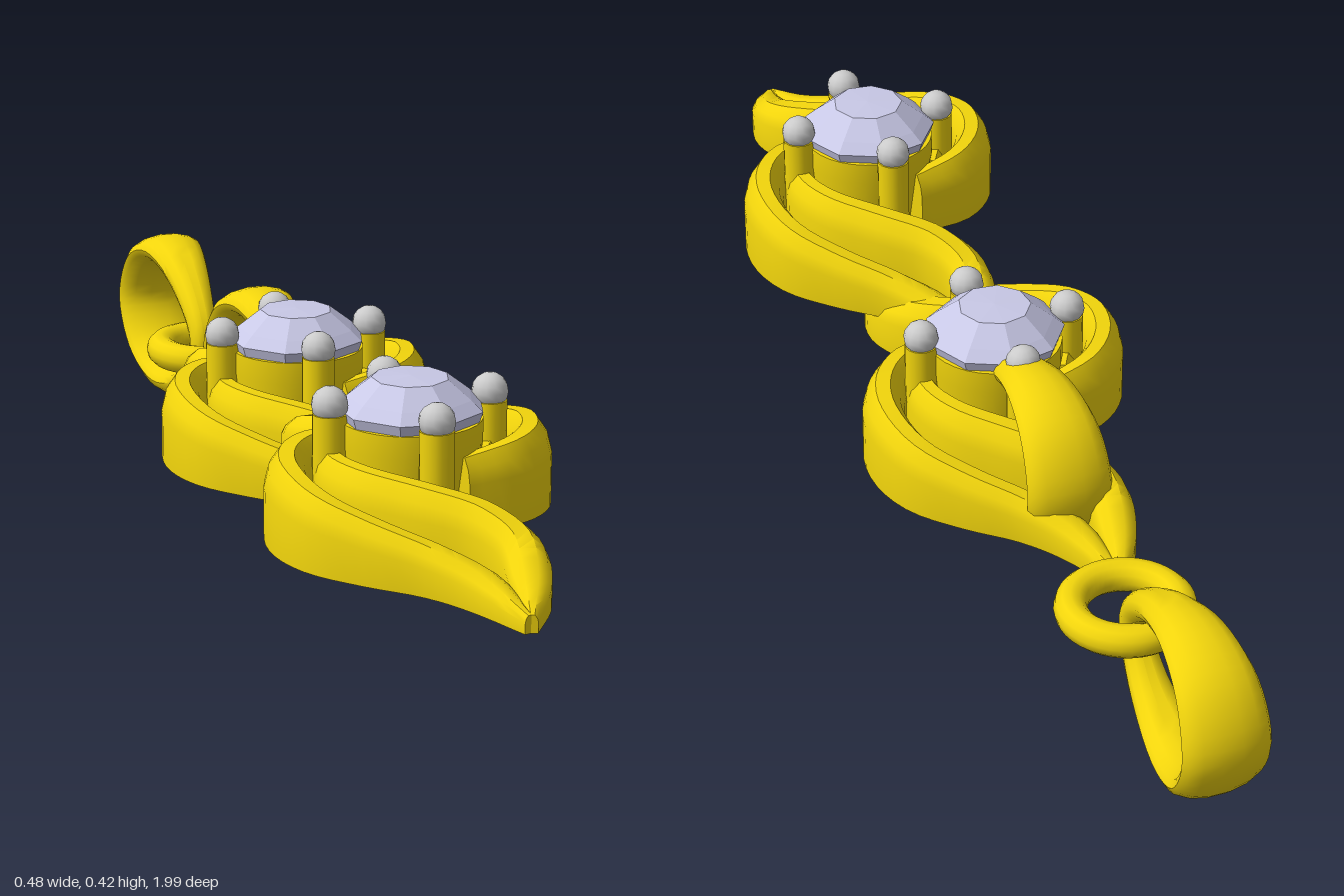
import * as THREE from 'three';
import { toCreasedNormals } from 'three/addons/utils/BufferGeometryUtils.js';

const gold = new THREE.MeshStandardMaterial({ color: 0xf2d50c });
const gemMat = new THREE.MeshStandardMaterial({ color: 0xc8c8e6, flatShading: true });
const grey = new THREE.MeshStandardMaterial({ color: 0xcccccc });

function mesh(name, geometry, material, x = 0, y = 0, z = 0) {
  const m = new THREE.Mesh(geometry, material);
  m.name = name;
  m.position.set(x, y, z);
  return m;
}

// Skin a list of cross-section rings (each counter-clockwise about the path)
function skin(rings, closed) {
  const n = rings[0].length, count = rings.length, pos = [], idx = [];
  rings.forEach(r => r.forEach(p => pos.push(p.x, p.y, p.z)));
  for (let i = 0; i < (closed ? count : count - 1); i++) {
    const k = (i + 1) % count;
    for (let j = 0; j < n; j++) {
      const l = (j + 1) % n;
      const a = i * n + j, b = i * n + l, c = k * n + l, d = k * n + j;
      idx.push(a, b, c, a, c, d);
    }
  }
  if (!closed) {
    const e = (count - 1) * n;
    for (let j = 1; j < n - 1; j++) idx.push(0, j + 1, j, e, e + j, e + j + 1);
  }
  const g = new THREE.BufferGeometry();
  g.setAttribute('position', new THREE.Float32BufferAttribute(pos, 3));
  g.setIndex(idx);
  return toCreasedNormals(g, 0.65);
}

// Ribbon strand: flat base, upright walls, rounded top.
// Path points are [x, z, halfWidth, bottomY, topY]
const PROFILE = [[1, 0], [1, 0.62], [0.8, 0.83], [0.35, 1], [-0.35, 1], [-0.8, 0.83], [-1, 0.62], [-1, 0]];
function strand(points) {
  const path = new THREE.CatmullRomCurve3(points.map(p => new THREE.Vector3(p[0], 0, p[1])));
  const size = new THREE.CatmullRomCurve3(points.map(p => new THREE.Vector3(p[2], p[3], p[4])));
  const rings = [], steps = 32;
  for (let i = 0; i <= steps; i++) {
    const p = path.getPoint(i / steps), t = path.getTangent(i / steps), s = size.getPoint(i / steps);
    rings.push(PROFILE.map(([u, v]) => new THREE.Vector3(
      p.x + t.z * u * s.x, s.y + (s.z - s.y) * v, p.z - t.x * u * s.x)));
  }
  return skin(rings, false);
}

// Teardrop loop, wide at the back and narrow where it meets the ring
function bailGeometry() {
  const pts = [[-0.97, 0.15], [-0.93, 0.235], [-0.84, 0.268], [-0.72, 0.235], [-0.637, 0.155],
    [-0.69, 0.075], [-0.82, 0.032], [-0.925, 0.068]];
  const path = new THREE.CatmullRomCurve3(pts.map(([z, y]) => new THREE.Vector3(0, y, z)), true);
  const rings = [], steps = 40, sides = 14;
  for (let i = 0; i < steps; i++) {
    const p = path.getPoint(i / steps), t = path.getTangent(i / steps);
    const w = THREE.MathUtils.mapLinear(p.z, -0.97, -0.637, 0.07, 0.024);
    rings.push(Array.from({ length: sides }, (_, j) => {
      const a = j / sides * Math.PI * 2, h = 0.026 * Math.sin(a);
      return new THREE.Vector3(w * Math.cos(a), p.y + t.z * h, p.z - t.y * h);
    }));
  }
  return skin(rings, true);
}

// Forked leaf: outer and inner strands that part at the stone and meet at the tip
function leaf() {
  const g = new THREE.Group();
  g.name = 'leaf';
  g.add(mesh('outerStrand', strand([
    [-0.05, -0.09, 0.02, 0.16, 0.265], [-0.135, -0.06, 0.029, 0.152, 0.275],
    [-0.187, 0.0, 0.033, 0.148, 0.276], [-0.207, 0.08, 0.033, 0.146, 0.272],
    [-0.188, 0.165, 0.033, 0.145, 0.255], [-0.13, 0.235, 0.032, 0.143, 0.232],
    [-0.06, 0.297, 0.031, 0.14, 0.208], [-0.008, 0.36, 0.03, 0.134, 0.186],
    [0.022, 0.465, 0.008, 0.128, 0.155]]), gold));
  g.add(mesh('innerStrand', strand([
    [-0.095, -0.05, 0.02, 0.16, 0.26], [-0.125, 0.02, 0.028, 0.15, 0.266],
    [-0.105, 0.1, 0.032, 0.147, 0.266], [-0.04, 0.172, 0.036, 0.145, 0.258],
    [0.032, 0.237, 0.038, 0.143, 0.243], [0.064, 0.305, 0.036, 0.14, 0.222],
    [0.052, 0.385, 0.03, 0.134, 0.19], [0.026, 0.465, 0.008, 0.128, 0.155]]), gold));
  return g;
}

// Round stone in a gold cup held by four ball-tipped prongs
function setting() {
  const g = new THREE.Group();
  g.name = 'setting';
  const lathe = (pts, n) => new THREE.LatheGeometry(pts.map(p => new THREE.Vector2(...p)), n);
  g.add(mesh('cup', toCreasedNormals(lathe([[0.07, 0.17], [0.09, 0.17], [0.108, 0.27], [0.108, 0.306],
    [0.09, 0.306], [0.07, 0.17]], 32), 0.6), gold));
  const gem = mesh('gem', lathe([[0, 0.215], [0.106, 0.304], [0.112, 0.322], [0.094, 0.338],
    [0.058, 0.366], [0, 0.368]], 9), gemMat);
  gem.rotation.y = 0.25;
  g.add(gem);
  for (let i = 0; i < 4; i++) {
    const a = i * Math.PI / 2, x = 0.124 * Math.sin(a), z = 0.124 * Math.cos(a);
    g.add(mesh('prong', new THREE.CylinderGeometry(0.026, 0.026, 0.14, 16), gold, x, 0.25, z));
    g.add(mesh('prongTip', new THREE.SphereGeometry(0.028, 12, 8), grey, x, 0.334, z));
  }
  return g;
}

// One pendant link: bail, jump ring, two leaves turned about the stone
function link() {
  const g = new THREE.Group();
  g.name = 'pendantLink';
  g.add(mesh('bail', bailGeometry(), gold));
  const ring = mesh('jumpRing', new THREE.TorusGeometry(0.083, 0.026, 12, 40), gold, 0, 0.15, -0.602);
  ring.rotation.x = Math.PI / 2;
  g.add(ring);
  const body = new THREE.Group();
  body.name = 'body';
  body.position.z = -0.06;
  const back = leaf();
  back.rotation.y = Math.PI;
  body.add(leaf(), back, setting());
  g.add(body);
  return g;
}

export function createModel() {
  const model = new THREE.Group();
  model.name = 'pendant';
  const upper = link(), lower = link();
  lower.position.set(0, 0.056, 0.59);
  model.add(upper, lower);
  return model;
}
